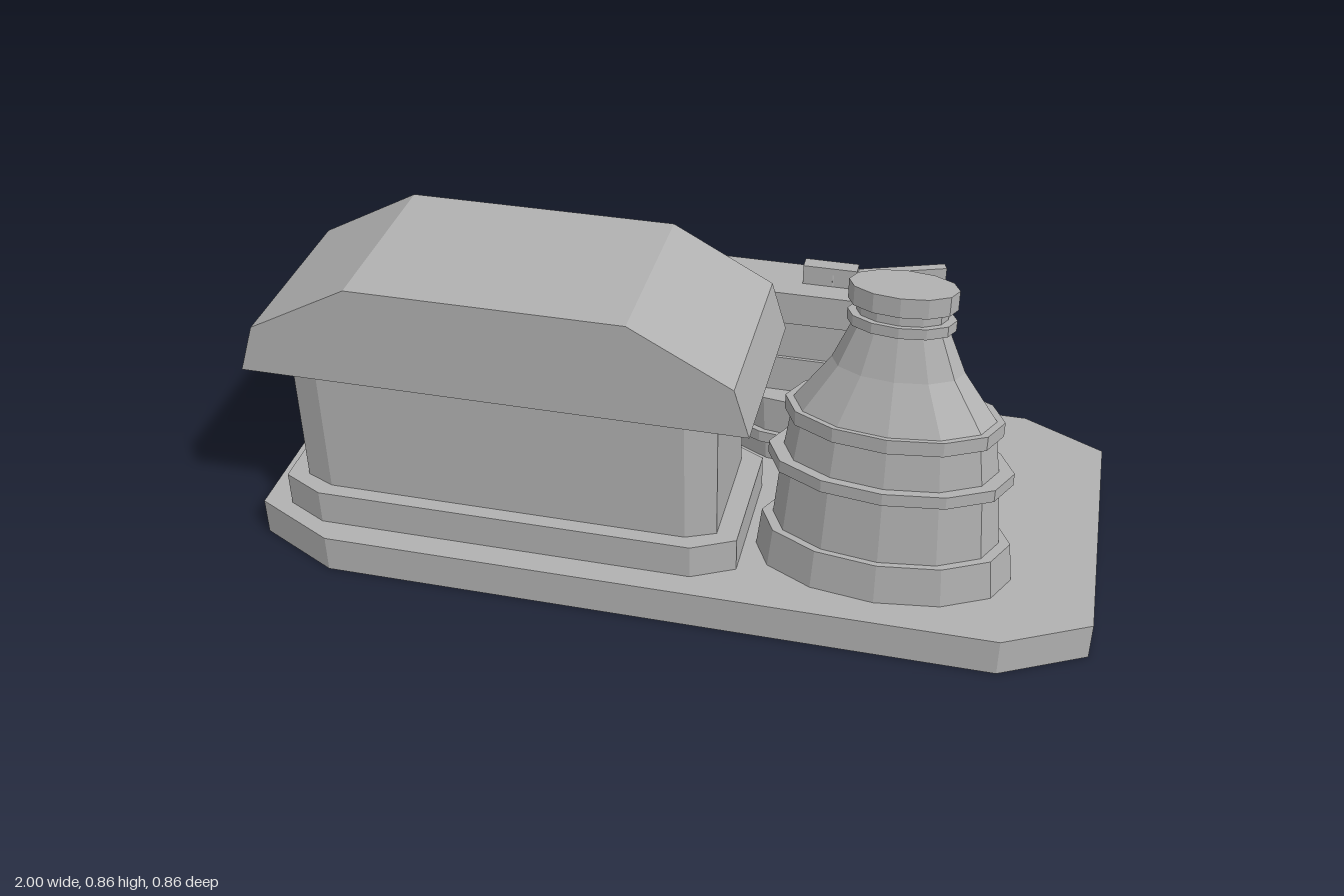
import * as THREE from 'three';

const stone = new THREE.MeshStandardMaterial({ color: 0xb2b2b2, side: THREE.DoubleSide, flatShading: true });
stone.name = 'stone grey';

export function createModel() {
  const root = new THREE.Group();

  const add = (name, geometry, parent = root) => {
    const mesh = new THREE.Mesh(geometry, stone);
    mesh.name = name;
    parent.add(mesh);
    return mesh;
  };
  const group = (name) => {
    const g = new THREE.Group();
    g.name = name;
    root.add(g);
    return g;
  };
  const box = (name, x0, x1, y0, y1, z0, z1, parent) => {
    const mesh = add(name, new THREE.BoxGeometry(x1 - x0, y1 - y0, z1 - z0), parent);
    mesh.position.set((x0 + x1) / 2, (y0 + y1) / 2, (z0 + z1) / 2);
    return mesh;
  };
  const shapeOf = (pts) => new THREE.Shape(pts.map(([a, b]) => new THREE.Vector2(a, b)));
  const extrude = (pts, depth) =>
    new THREE.ExtrudeGeometry(shapeOf(pts), { depth, bevelEnabled: false });
  // outline in x/y, pushed from z0 to z1
  const slab = (pts, z0, z1) => extrude(pts, z1 - z0).translate(0, 0, z0);
  // block with cut corners, standing upright
  const cutBlock = (x0, x1, y0, y1, z0, z1, cx, cz) =>
    extrude([
      [x0 + cx, -z1], [x1 - cx, -z1], [x1, -z1 + cz], [x1, -z0 - cz],
      [x1 - cx, -z0], [x0 + cx, -z0], [x0, -z0 - cz], [x0, -z1 + cz],
    ], y1 - y0).rotateX(-Math.PI / 2).translate(0, y0, 0);
  // twelve-sided turned form, flattened in z
  const oval = (profile, x, z, flatten) =>
    new THREE.LatheGeometry(profile.map(([r, y]) => new THREE.Vector2(r, y)), 12)
      .scale(1, 1, flatten).translate(x, 0, z);

  // Ground plate, open underneath
  const plate = cutBlock(-1, 1, 0, 0.095, -0.43, 0.43, 0.2, 0.1);
  const src = plate.attributes.position;
  const kept = [];
  for (let i = 0; i < src.count; i += 3) {
    if (src.getY(i) + src.getY(i + 1) + src.getY(i + 2) < 1e-4) continue;
    for (let k = i; k < i + 3; k++) kept.push(src.getX(k), src.getY(k), src.getZ(k));
  }
  const openPlate = new THREE.BufferGeometry();
  openPlate.setAttribute('position', new THREE.Float32BufferAttribute(kept, 3));
  openPlate.computeVertexNormals();
  add('groundPlate', openPlate);

  // Hall
  const hall = group('hall');
  add('plinth', cutBlock(-0.93, 0.18, 0.095, 0.182, -0.05, 0.37, 0.1, 0.05), hall);
  add('walls', cutBlock(-0.88, 0.13, 0.18, 0.535, -0.013, 0.335, 0.07, 0.03), hall);
  add('roof', slab([
    [-0.965, 0.528], [0.215, 0.528], [0.18, 0.648], [-0.055, 0.777], [-0.69, 0.777], [-0.925, 0.648],
  ], -0.062, 0.382), hall);

  // Entrance on the back of the hall
  const entrance = group('entrance');
  add('portal', slab([
    [-0.65, 0.095], [-0.1, 0.095], [-0.1, 0.35], [-0.22, 0.485], [-0.53, 0.485], [-0.65, 0.35],
  ], -0.046, 0), entrance);
  for (const s of [-1, 1]) {
    const x = -0.41 + s * 0.077;
    box('door', x - 0.045, x + 0.045, 0.1, 0.3, -0.053, -0.045, entrance);
    box('doorHandle', x - s * 0.03 - 0.008, x - s * 0.03 + 0.008, 0.19, 0.225, -0.06, -0.05, entrance);
  }
  box('signPlate', -0.47, -0.36, 0.43, 0.485, -0.055, -0.045, entrance);

  // Sloping buttresses beside the entrance
  for (const x of [-0.78, -0.01]) {
    const side = [[-0.046, 0.182], [0.01, 0.182], [0.01, 0.53], [-0.03, 0.53]];
    const geo = slab(side.map(([z, y]) => [-z, y]), -0.02, 0.02).rotateY(Math.PI / 2);
    geo.translate(x, 0, 0);
    add('buttress', geo, entrance);
  }

  // V-shaped bars on the gable
  const bar = (x0, y0, x1, y1) => {
    const m = add('gableBar', new THREE.BoxGeometry(Math.hypot(x1 - x0, y1 - y0), 0.02, 0.014), entrance);
    m.position.set((x0 + x1) / 2, (y0 + y1) / 2, -0.067);
    m.rotation.z = Math.atan2(y1 - y0, x1 - x0);
  };
  bar(-0.41, 0.555, -0.295, 0.66);
  bar(-0.41, 0.555, -0.465, 0.61);

  // Small bell-shaped pot and low tub against the wall
  add('bellPot', oval([
    [0, 0.11], [0.045, 0.11], [0.045, 0.165], [0.02, 0.19], [0.02, 0.23],
    [0.04, 0.245], [0.018, 0.27], [0.014, 0.33], [0, 0.335],
  ], -0.03, -0.05, 0.6), entrance);
  add('wallTub', oval([
    [0, 0.105], [0.11, 0.105], [0.11, 0.165], [0, 0.165],
  ], -0.62, -0.045, 0.3), entrance);

  // Bottle kiln
  const kiln = group('kiln');
  add('kilnBody', oval([
    [0.3, 0.095], [0.288, 0.2], [0.262, 0.2], [0.246, 0.37], [0.277, 0.37], [0.277, 0.402],
    [0.242, 0.402], [0.228, 0.5], [0.243, 0.5], [0.243, 0.537], [0.225, 0.537],
    [0.145, 0.655], [0.103, 0.758], [0.117, 0.758], [0.117, 0.784], [0.098, 0.784],
    [0.098, 0.81], [0.117, 0.81], [0.117, 0.857], [0, 0.857],
  ], 0.507, 0.215, 0.495), kiln);
  add('kilnPorch', cutBlock(0.33, 0.69, 0.095, 0.2, 0.052, 0.16, 0.1, 0.03), kiln);
  add('kilnPorchTop', cutBlock(0.4, 0.62, 0.2, 0.265, 0.06, 0.12, 0.05, 0.02), kiln);

  // Mill with an hourglass head
  const mill = group('mill');
  add('millBase', oval([
    [0.24, 0.095], [0.246, 0.155], [0.274, 0.155], [0.274, 0.186], [0.25, 0.186], [0.258, 0.286], [0, 0.286],
  ], 0.288, -0.219, 0.5), mill);
  add('lowerSkirt', slab([[0.0, 0.28], [0.58, 0.28], [0.48, 0.382], [0.1, 0.382]], -0.285, -0.15), mill);
  add('waist', slab([[0.1, 0.38], [0.48, 0.38], [0.54, 0.487], [0.03, 0.487]], -0.278, -0.158), mill);
  add('head', slab([[0.02, 0.485], [0.55, 0.485], [0.585, 0.57], [-0.02, 0.57]], -0.289, -0.148), mill);
  box('arm', -0.25, 0.05, 0.5, 0.555, -0.265, -0.18, mill);
  box('headBlock', 0.23, 0.36, 0.565, 0.62, -0.237, -0.202, mill);
  const blade = add('headBlade', new THREE.BoxGeometry(0.28, 0.035, 0.022), mill);
  blade.position.set(0.43, 0.585, -0.258);
  blade.rotation.y = 0.34;

  // Water tank with a raised rim
  add('tank', oval([
    [0.165, 0.095], [0.17, 0.26], [0.15, 0.26], [0.15, 0.25], [0, 0.25],
  ], -0.68, -0.265, 0.49));

  return root;
}
